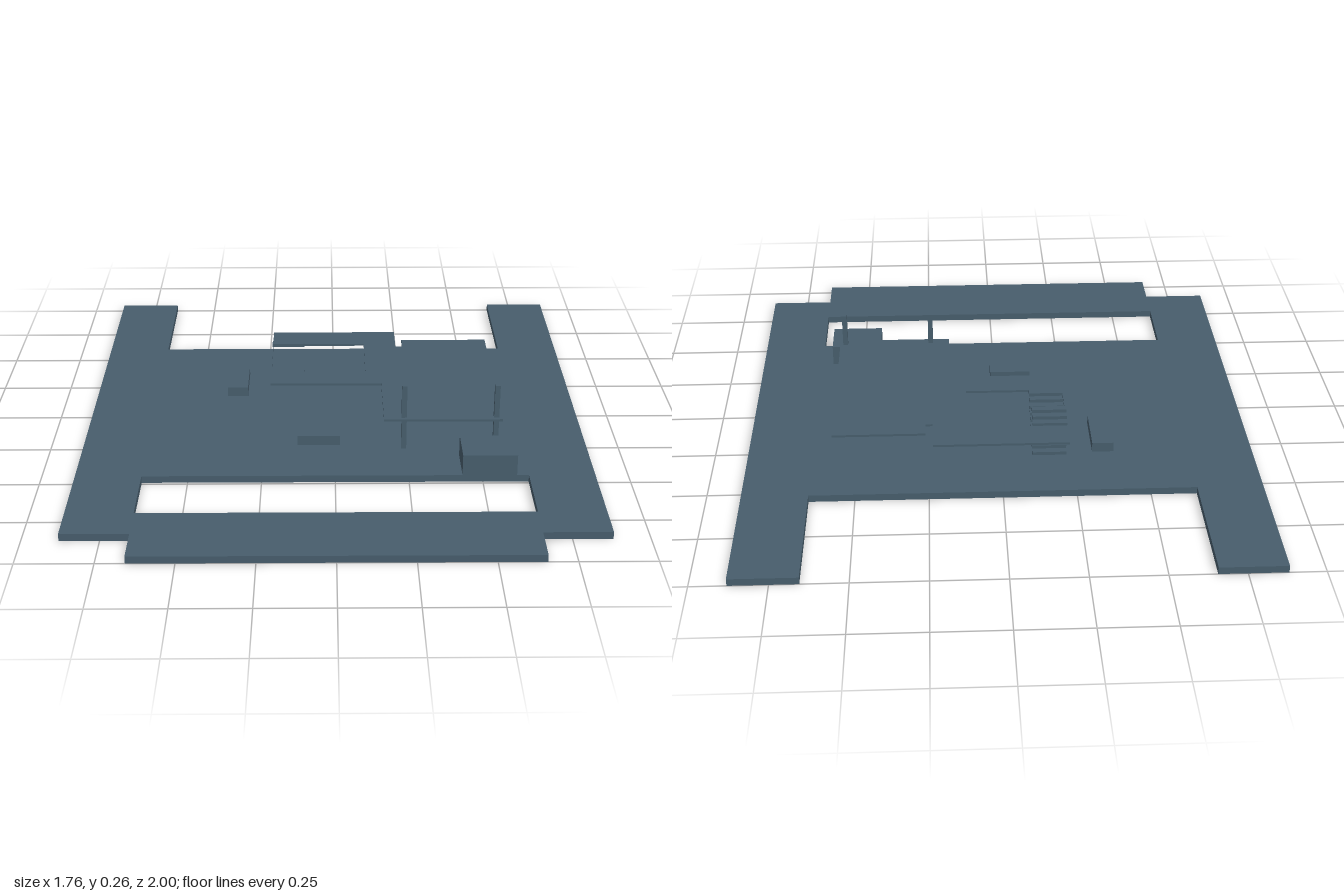
import * as THREE from 'three';

const material = new THREE.MeshStandardMaterial({ color: 0x475d6c, flatShading: true });

export function createModel() {
  const model = new THREE.Group();
  model.name = 'buildingSite';

  const add = (name, geometry, parent = model) => {
    const mesh = new THREE.Mesh(geometry, material);
    mesh.name = name;
    parent.add(mesh);
    return mesh;
  };

  // Box given by its extents on each axis
  const box = (name, [x0, x1], [y0, y1], [z0, z1], parent) =>
    add(name, new THREE.BoxGeometry(x1 - x0, y1 - y0, z1 - z0), parent)
      .position.set((x0 + x1) / 2, (y0 + y1) / 2, (z0 + z1) / 2);

  // Horizontal slab from an (x, z) outline with holes
  const toPoints = (list) => list.map(([x, z]) => new THREE.Vector2(x, z));
  const slab = (name, outline, holes, bottom, top) => {
    const shape = new THREE.Shape(toPoints(outline));
    for (const hole of holes) shape.holes.push(new THREE.Path(toPoints(hole)));
    const geometry = new THREE.ExtrudeGeometry(shape, { depth: top - bottom, bevelEnabled: false });
    geometry.rotateX(Math.PI / 2).translate(0, top, 0);
    return add(name, geometry);
  };
  const rect = (x0, x1, z0, z1) => [[x0, z0], [x1, z0], [x1, z1], [x0, z1]];

  // Ground plate: two back arms, a front tab and a long opening
  const ground = 0.025;
  const half = [[0.655, -0.55], [0.655, -1], [0.88, -1], [0.88, 0.865], [0.655, 0.865], [0.655, 1]];
  const mirrored = half.map(([x, z]) => [-x, z]).reverse();
  slab('groundPlate', [...half, ...mirrored], [rect(-0.655, 0.655, 0.49, 0.735)], 0, ground);

  // Raised thin floor with a stairwell and a narrow slot at the back
  const floorTop = 0.145;
  slab('upperFloor', [
    [-0.23, -0.44], [0.235, -0.44], [0.235, -0.305], [0.26, -0.305], [0.26, -0.365],
    [0.58, -0.365], [0.58, 0.31], [0.17, 0.31], [0.17, 0.02], [-0.23, 0.02],
  ], [rect(-0.229, 0.115, -0.33, -0.085)], 0.137, floorTop);

  // Two flights of thin steps, both climbing towards the front
  const run = 0.0245, rise = 0.012;
  const flight = (name, count, startY) => {
    const group = new THREE.Group();
    group.name = name;
    model.add(group);
    for (let i = 0; i < count; i++) {
      const y = startY + i * rise, z = -0.33 + i * run;
      box('step', [-0.23, -0.11], [y, y + rise], [z, z + run], group);
    }
  };
  flight('lowerStairs', 10, ground);
  flight('upperStairs', 3, floorTop - 0.002);

  // Slender posts at the front of the raised floor
  for (const x of [0.24, 0.56]) {
    box('post', [x - 0.009, x + 0.009], [ground, 0.265], [0.278, 0.296]);
  }

  // Blocks standing on the ground plate
  box('largeBlock', [0.43, 0.615], [ground, 0.1], [0.345, 0.49]);
  box('frontBlock', [-0.13, 0.018], [ground, 0.06], [0.197, 0.267]);
  box('sideBlock', [-0.395, -0.32], [ground, 0.06], [-0.315, -0.125]);

  return model;
}
